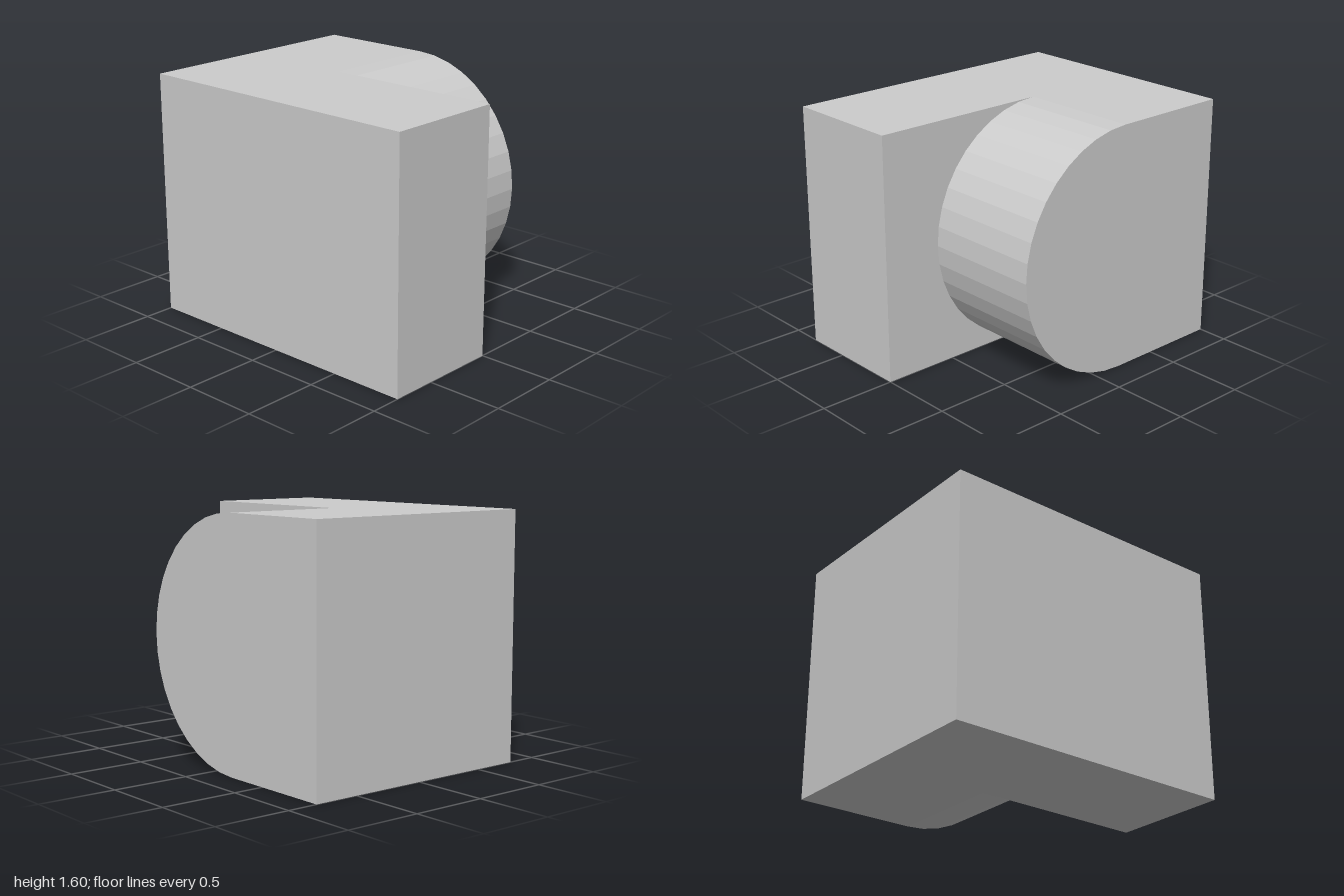
import * as THREE from 'three';
import { mergeGeometries } from 'three/addons/utils/BufferGeometryUtils.js';

const HALF = 0.8, HEIGHT = 1.6, RADIUS = 0.8, ARC_STEPS = 20;

// Profiles lie in (u, y) with u = -z, as seen from the +x side
const p = (u, y) => new THREE.Vector2(u, y);

// Half circle from the top tangent point, round the front, to the bottom
function frontArc() {
  const pts = [];
  for (let i = 0; i <= ARC_STEPS; i++) {
    const a = Math.PI / 2 + (Math.PI * i) / ARC_STEPS;
    pts.push(p(0.2 + RADIUS * Math.cos(a), RADIUS + RADIUS * Math.sin(a)));
  }
  return pts;
}

// Strip of flat walls around a counter-clockwise profile, from x0 to x1
function walls(profile, x0, x1) {
  const pos = [];
  profile.forEach((a, i) => {
    const b = profile[(i + 1) % profile.length];
    const a0 = [x0, a.y, -a.x], a1 = [x1, a.y, -a.x];
    const b0 = [x0, b.y, -b.x], b1 = [x1, b.y, -b.x];
    pos.push(...a0, ...b0, ...b1, ...a0, ...b1, ...a1);
  });
  const geo = new THREE.BufferGeometry();
  geo.setAttribute('position', new THREE.Float32BufferAttribute(pos, 3));
  geo.computeVertexNormals();
  return geo;
}

// Flat face at a given x; side is +1 to face +x, -1 to face -x
function cap(profile, x, side) {
  const geo = new THREE.ShapeGeometry(new THREE.Shape(profile)).toNonIndexed();
  geo.deleteAttribute('uv');
  return geo.rotateY((side * Math.PI) / 2).translate(x, 0, 0);
}

export function createModel() {
  const group = new THREE.Group();
  const material = new THREE.MeshStandardMaterial({ color: 0xcccccc, flatShading: true });
  const add = (name, parts) => {
    const mesh = new THREE.Mesh(mergeGeometries(parts), material);
    mesh.name = name;
    group.add(mesh);
  };

  const arc = frontArc();
  const rect = [p(-1, 0), p(1, 0), p(1, HEIGHT), p(-1, HEIGHT)];
  const rounded = [p(1, 0), p(1, HEIGHT), ...arc];
  // Part of the long block's inner side left uncovered by the rounded block
  const exposed = [p(-1, 0), ...arc.slice().reverse(), p(-1, HEIGHT)];

  // Long rectangular block
  add('longBlock', [walls(rect, -HALF, 0), cap(rect, -HALF, -1), cap(exposed, 0, 1)]);

  // Shorter block with a half-cylinder front
  add('roundedBlock', [walls(rounded, 0, HALF), cap(rounded, HALF, 1)]);

  return group;
}
